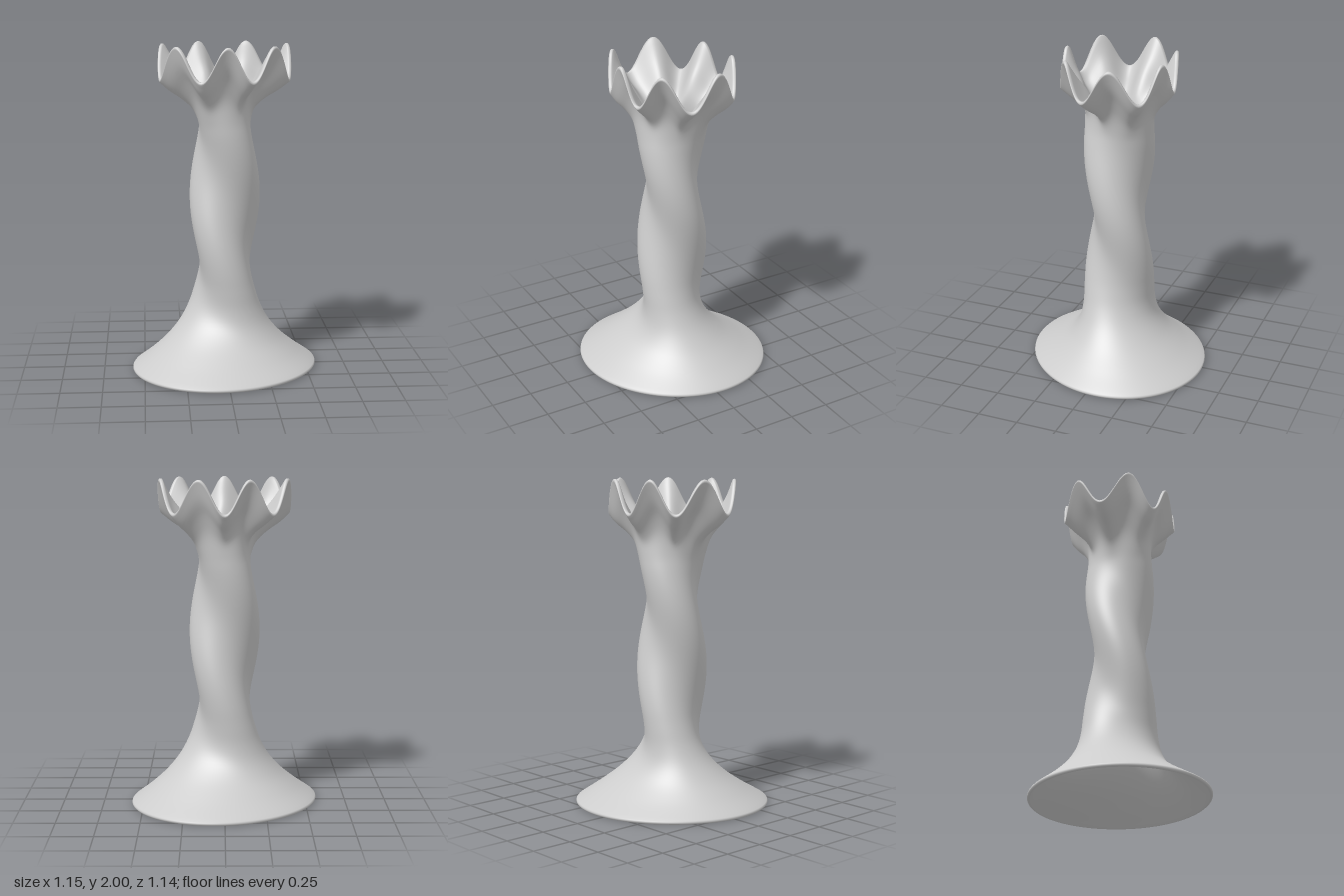
import * as THREE from 'three';

const HALF_WALL = 0.0125;
const SEGMENTS = 210;
const PETALS = 7;

// Centre line of the wall: radius, height
const WALL = [
  [0.555, 0.012], [0.43, 0.095], [0.315, 0.19], [0.236, 0.29], [0.195, 0.39],
  [0.178, 0.5], [0.1725, 0.62], [0.1725, 1.0], [0.1725, 1.45], [0.176, 1.55],
  [0.195, 1.65], [0.245, 1.735], [0.31, 1.81], [0.362, 1.888],
];

// Closed wall section: up the outside, over the lip, down the inside, round the foot
function wallSection() {
  const curve = new THREE.CatmullRomCurve3(WALL.map(([r, y]) => new THREE.Vector3(r, y, 0)));
  const steps = 80, capSteps = 6, section = [];
  const add = (u, turn) => {
    const p = curve.getPointAt(u), t = curve.getTangentAt(u);
    const c = Math.cos(turn) * HALF_WALL, s = Math.sin(turn) * HALF_WALL;
    section.push({ r: p.x + t.y * c + t.x * s, y: p.y - t.x * c + t.y * s, level: p.y });
  };
  for (let i = 0; i <= steps; i++) add(i / steps, 0);
  for (let i = 1; i < capSteps; i++) add(1, Math.PI * i / capSteps);
  for (let i = steps; i >= 0; i--) add(i / steps, Math.PI);
  for (let i = 1; i < capSteps; i++) add(0, Math.PI * (1 + i / capSteps));
  return section;
}

// Oval section that twists with height, with a wavy lip at the top
function twistedVase() {
  const section = wallSection(), positions = [], index = [];
  for (const { r, y, level } of section) {
    const twist = Math.PI * (level / 0.86 - 0.25);
    const wave = 0.1 * Math.pow(Math.max(0, (level - 1.5) / 0.388), 1.5);
    for (let j = 0; j < SEGMENTS; j++) {
      const a = j / SEGMENTS * Math.PI * 2;
      const radius = r + 0.03 * Math.cos(2 * (a - twist));
      const height = y + wave * Math.cos(PETALS * (a - Math.PI / 2));
      positions.push(radius * Math.cos(a), Math.max(0, height), radius * Math.sin(a));
    }
  }
  for (let i = 0; i < section.length; i++) {
    const k = (i + 1) % section.length;
    for (let j = 0; j < SEGMENTS; j++) {
      const n = (j + 1) % SEGMENTS;
      const a = i * SEGMENTS + j, b = k * SEGMENTS + j;
      const c = i * SEGMENTS + n, d = k * SEGMENTS + n;
      index.push(a, b, c, b, d, c);
    }
  }
  const geometry = new THREE.BufferGeometry();
  geometry.setAttribute('position', new THREE.Float32BufferAttribute(positions, 3));
  geometry.setIndex(index);
  geometry.computeVertexNormals();
  return geometry;
}

export function createModel() {
  const group = new THREE.Group();
  group.name = 'twistedVase';
  const grey = new THREE.MeshStandardMaterial({ color: 0xcccccc });
  grey.name = 'light grey';
  const body = new THREE.Mesh(twistedVase(), grey);
  body.name = 'vaseBody';
  group.add(body);
  return group;
}
